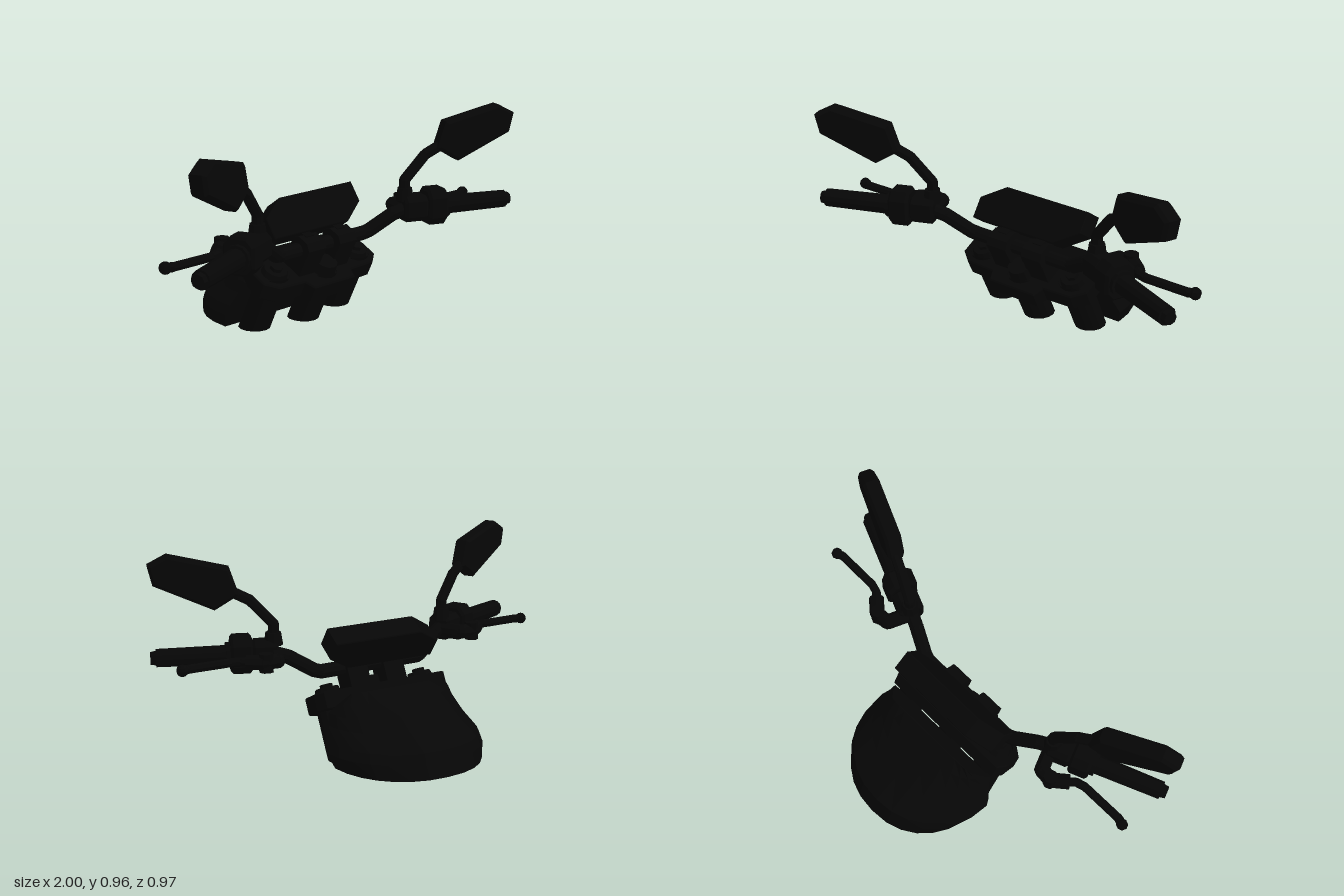
import * as THREE from 'three';

const black = new THREE.MeshStandardMaterial({ color: 0x060606, flatShading: true, side: THREE.DoubleSide });
const RAKE = 0.445; // tilt of the fork axis
const SWEEP = -0.39; // backward sweep of the grips
const V = (p) => new THREE.Vector3(...p);

function add(parent, name, geometry, pos = [0, 0, 0], rot = [0, 0, 0]) {
  const mesh = new THREE.Mesh(geometry, black);
  mesh.name = name;
  mesh.position.set(...pos);
  mesh.rotation.set(...rot);
  parent.add(mesh);
  return mesh;
}

// Straight round bar between two points
function rod(parent, name, a, b, r0, r1 = r0, sides = 10) {
  const d = V(b).sub(V(a));
  const mesh = add(parent, name, new THREE.CylinderGeometry(r1, r0, d.length(), sides));
  mesh.position.copy(V(a)).addScaledVector(d, 0.5);
  mesh.quaternion.setFromUnitVectors(new THREE.Vector3(0, 1, 0), d.normalize());
}

// Chain of bars with rounded joints
function chain(parent, name, points, r, sides = 8) {
  const group = new THREE.Group();
  group.name = name;
  parent.add(group);
  for (let i = 0; i < points.length - 1; i++) {
    rod(group, name + 'Segment', points[i], points[i + 1], r, r, sides);
    if (i) add(group, name + 'Joint', new THREE.SphereGeometry(r, sides, 6), points[i]);
  }
}

// Plate from an outline, centred on its thickness
function plate(points, depth, bevel = 0) {
  const shape = new THREE.Shape(points.map((p) => new THREE.Vector2(...p)));
  const g = new THREE.ExtrudeGeometry(shape, {
    depth: depth - 2 * bevel, bevelEnabled: bevel > 0, bevelThickness: bevel,
    bevelSize: bevel, bevelOffset: -bevel, bevelSegments: 1,
  });
  return g.translate(0, 0, bevel - depth / 2);
}

// Upright tube sheared along the rake, so it is cut level at the bottom
function rakedTube(r, height) {
  const g = new THREE.CylinderGeometry(r, r, height, 14, 1, true).translate(0, height / 2, 0);
  const p = g.attributes.position;
  for (let i = 0; i < p.count; i++) p.setZ(i, p.getZ(i) * 1.07 + p.getY(i) * Math.tan(RAKE));
  g.computeVertexNormals();
  return g;
}

// Headlight cowl: level sections with a straight back and a domed front
function cowlGeometry() {
  // height, half width, back z, front z
  const levels = [
    [0, 0.36, -0.115, -0.49], [0.07, 0.387, -0.085, -0.468], [0.115, 0.375, -0.063, -0.455],
    [0.18, 0.345, -0.033, -0.325], [0.23, 0.33, -0.01, -0.247], [0.28, 0.3, -0.05, -0.17], [0.33, 0.26, -0.09, -0.095],
  ];
  const n = 14, pos = [], index = [];
  for (const [y, w, back, front] of levels) {
    for (let i = 0; i <= n; i++) {
      const t = (i / n) * Math.PI, c = Math.cos(t);
      pos.push(w * Math.sign(c) * Math.abs(c) ** 0.9, y, back + (front - back) * Math.sin(t) ** 0.93);
    }
  }
  const row = n + 1;
  for (let l = 0; l < levels.length - 1; l++) {
    for (let i = 0; i < row; i++) {
      const a = l * row + i, b = l * row + ((i + 1) % row);
      index.push(a, a + row, b, b, a + row, b + row);
    }
  }
  const top = (levels.length - 1) * row;
  for (let i = 1; i < n; i++) index.push(top, top + i + 1, top + i);
  const g = new THREE.BufferGeometry();
  g.setAttribute('position', new THREE.Float32BufferAttribute(pos, 3));
  g.setIndex(index);
  g.computeVertexNormals();
  return g;
}

// Grip, switches, lever and mirror of one side
function controls() {
  const side = new THREE.Group();

  // Switch housing and grip, built along the swept bar end
  const end = new THREE.Group();
  end.name = 'gripAndSwitches';
  end.position.set(0.56, 0.482, 0.277);
  end.rotation.y = SWEEP;
  side.add(end);
  const along = (name, x0, x1, r0, r1, sides) => rod(end, name, [x0, 0, 0], [x1, 0, 0], r0, r1, sides);
  along('grip', 0.1, 0.44, 0.047, 0.043, 12);
  along('gripFlange', 0.09, 0.125, 0.06, 0.06, 12);
  along('barEnd', 0.43, 0.465, 0.036, 0.03, 8);
  add(end, 'switchHousing', plate([[-0.075, -0.045], [-0.04, -0.083], [0.04, -0.083], [0.075, -0.045],
    [0.075, 0.05], [0.04, 0.09], [-0.04, 0.09], [-0.075, 0.05]], 0.1, 0.012), [0.055, 0, 0], [0, Math.PI / 2, 0]);
  add(end, 'leverClamp', plate([[-0.06, -0.035], [-0.035, -0.06], [0.035, -0.06], [0.06, -0.035],
    [0.06, 0.04], [0.035, 0.065], [-0.035, 0.065], [-0.06, 0.04]], 0.12, 0.012), [-0.055, 0, 0], [0, Math.PI / 2, 0]);
  add(end, 'mirrorMount', new THREE.CylinderGeometry(0.036, 0.045, 0.06, 8), [-0.095, 0.07, -0.005]);

  // Lever bracket and lever
  chain(side, 'leverBracket', [[0.475, 0.475, 0.22], [0.515, 0.475, 0.125], [0.58, 0.475, 0.12], [0.645, 0.475, 0.175]], 0.036);
  add(side, 'leverPivot', new THREE.CylinderGeometry(0.034, 0.034, 0.085, 8), [0.575, 0.475, 0.12]);
  chain(side, 'lever', [[0.62, 0.475, 0.15], [0.665, 0.475, 0.195], [0.71, 0.475, 0.208], [0.92, 0.475, 0.21], [0.96, 0.475, 0.195]], 0.021);
  add(side, 'leverTip', new THREE.SphereGeometry(0.028, 8, 6), [0.95, 0.475, 0.2]);

  // Mirror stalk and mirror
  chain(side, 'mirrorStalk', [[0.472, 0.55, 0.235], [0.472, 0.62, 0.235], [0.57, 0.735, 0.275], [0.66, 0.785, 0.315]], 0.026);
  add(side, 'mirror', plate([[-0.205, -0.055], [-0.092, -0.122], [0.18, 0.0], [0.202, 0.092],
    [0.115, 0.137], [-0.163, 0.072]], 0.08, 0.014), [0.803, 0.82, 0.376], [0, SWEEP, 0]);
  return side;
}

export function createModel() {
  const model = new THREE.Group();
  model.name = 'handlebarAssembly';

  add(model, 'headlightCowl', cowlGeometry());

  // Fork tubes and steering stem
  for (const s of [-1, 1]) add(model, 'forkTube', rakedTube(0.073, 0.27), [s * 0.26, 0, -0.025]);
  add(model, 'steeringStem', rakedTube(0.073, 0.25), [0, 0, 0.03]);

  // Top clamp with everything that stands square on it
  const clamp = new THREE.Group();
  clamp.name = 'topClamp';
  clamp.position.set(0, 0.235, 0.115);
  clamp.rotation.x = RAKE;
  model.add(clamp);
  const half = [[0.13, -0.125], [0.15, -0.075], [0.3, -0.07], [0.36, -0.02], [0.36, 0.07], [0.335, 0.122]];
  const outline = [...half, ...half.map(([x, y]) => [-x, y]).reverse()];
  add(clamp, 'clampPlate', plate(outline, 0.085, 0.006), [0, 0, 0], [-Math.PI / 2, 0, 0]);
  add(clamp, 'stemNut', new THREE.CylinderGeometry(0.055, 0.06, 0.06, 12), [0, 0.065, 0.03]);
  for (const s of [-1, 1]) {
    add(clamp, 'forkCap', new THREE.CylinderGeometry(0.055, 0.065, 0.03, 12), [s * 0.26, 0.053, -0.025]);
    add(clamp, 'forkBolt', new THREE.CylinderGeometry(0.03, 0.03, 0.02, 6), [s * 0.26, 0.075, -0.025]);
    add(clamp, 'riser', new THREE.BoxGeometry(0.11, 0.13, 0.11), [s * 0.1, 0.095, -0.02]);
    add(clamp, 'riserCap', plate([[-0.058, -0.03], [0.058, -0.03], [0.058, 0.01], [0.03, 0.037], [-0.03, 0.037], [-0.058, 0.01]], 0.11),
      [s * 0.1, 0.175, -0.02], [0, Math.PI / 2, 0]);
    // Brackets holding the display
    add(model, 'displayBracket', new THREE.BoxGeometry(0.05, 0.05, 0.1), [s * 0.1, 0.435, 0.125], [0.3, 0, 0]);
  }

  // Handlebar
  const bar = [[0.27, 0.382, 0.155], [0.3, 0.39, 0.165], [0.41, 0.46, 0.215], [0.47, 0.48, 0.24], [0.6, 0.482, 0.293]];
  chain(model, 'handlebar', [...bar.map(([x, y, z]) => [-x, y, z]).reverse(), ...bar], 0.034, 10);

  // Instrument display with two clipped corners
  add(model, 'display', plate([[-0.295, -0.092], [0.17, -0.092], [0.295, -0.01], [0.295, 0.092],
    [-0.17, 0.092], [-0.295, 0.01]], 0.107, 0.004), [0, 0.506, 0.063], [-0.61, 0, 0]);

  // Controls on both sides
  for (const s of [1, -1]) {
    const side = controls();
    side.name = s > 0 ? 'leftControls' : 'rightControls';
    side.scale.x = s;
    model.add(side);
  }
  return model;
}
